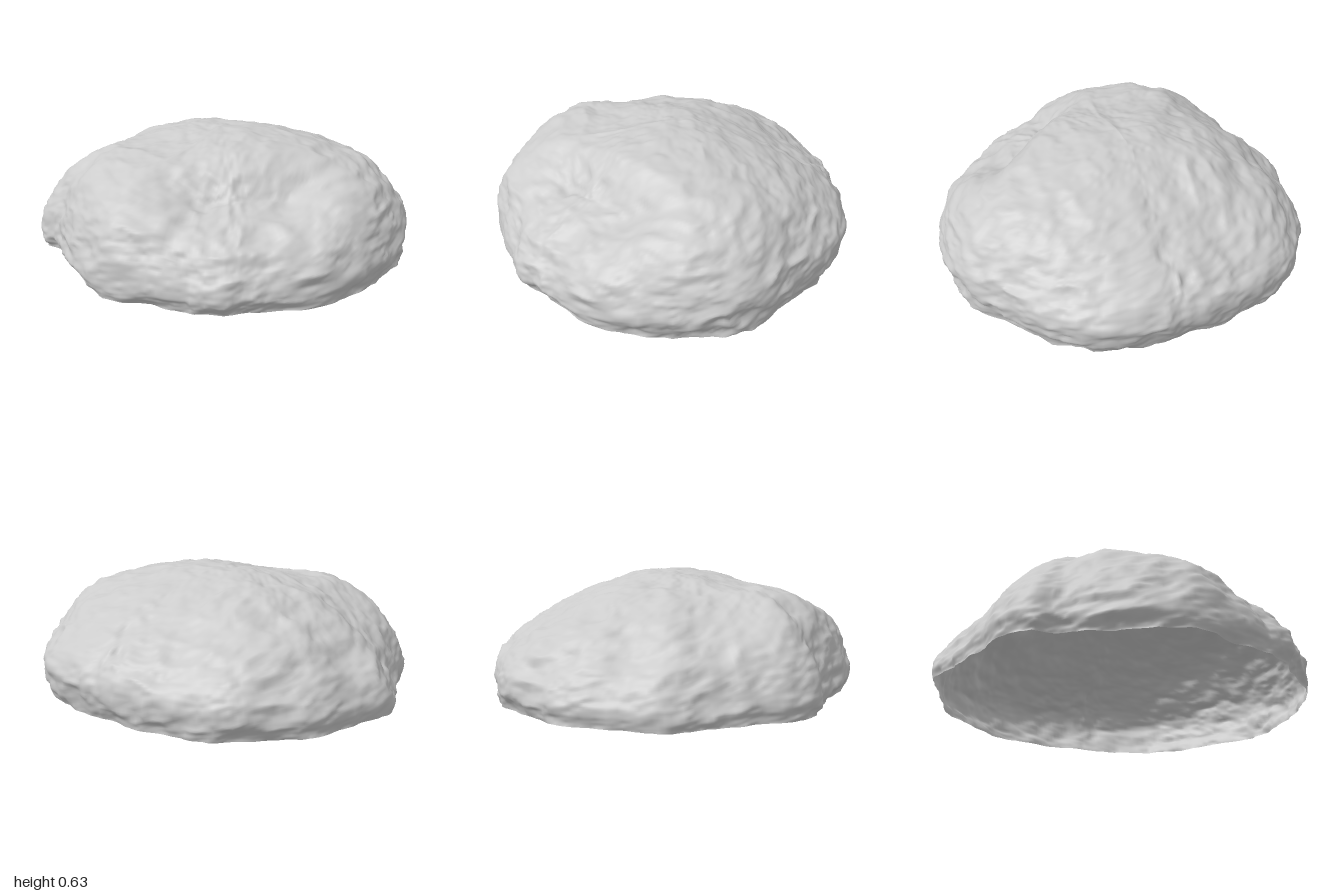
import * as THREE from 'three';

const { smoothstep, lerp } = THREE.MathUtils;
const SEGMENTS = 256, RINGS = 110;

// Ground outline seen from above, as (x, z), running from +x towards +z
const outline = new THREE.CatmullRomCurve3([
  [0.965, 0], [0.93, 0.2], [0.85, 0.4], [0.71, 0.57], [0.62, 0.66], [0.56, 0.73],
  [0.4, 0.8], [0.2, 0.87], [0, 0.925], [-0.2, 0.87], [-0.4, 0.78], [-0.55, 0.7],
  [-0.68, 0.68], [-0.78, 0.57], [-0.84, 0.4], [-0.91, 0.2], [-0.985, 0], [-0.94, -0.2],
  [-0.915, -0.4], [-0.835, -0.54], [-0.69, -0.71], [-0.56, -0.81], [-0.36, -0.865],
  [-0.17, -0.905], [0, -0.895], [0.12, -0.915], [0.4, -0.865], [0.56, -0.77], [0.69, -0.65],
  [0.79, -0.52], [0.91, -0.36], [0.965, -0.18],
].map(([x, z]) => new THREE.Vector3(x, 0, z)), true);

// Rim-to-top profiles for each side, as (share of the outline, height)
const profile = (pts) => new THREE.SplineCurve(pts.map(([r, y]) => new THREE.Vector2(r, y)));
const leftSide = profile([[0.97, 0], [1, 0.15], [0.97, 0.27], [0.87, 0.41], [0.71, 0.52], [0.5, 0.58], [0.25, 0.6], [0, 0.61]]);
const frontSide = profile([[0.96, 0], [1, 0.1], [0.96, 0.24], [0.89, 0.36], [0.68, 0.49], [0.44, 0.54], [0.2, 0.59], [0, 0.61]]);
const rightSide = profile([[0.98, 0], [0.99, 0.08], [0.92, 0.21], [0.76, 0.36], [0.53, 0.5], [0.34, 0.565], [0.16, 0.605], [0, 0.61]]);
const backSide = profile([[0.96, 0], [1, 0.16], [0.93, 0.26], [0.77, 0.375], [0.55, 0.48], [0.33, 0.56], [0.16, 0.6], [0, 0.61]]);

// Broad swellings and hollows on the dome: x, z, height change, width
const swells = [
  [-0.28, 0.64, 0.04, 0.22],
  [-0.5, 0.55, 0.045, 0.22],
  [0.54, -0.52, 0.02, 0.2],
  [-0.27, -0.6, -0.04, 0.24],
  [0.65, -0.05, -0.02, 0.22],
  [-0.5, 0.2, -0.02, 0.18],
];

// Seeded smooth value noise, -1 to 1
function hash(x, y, z) {
  let h = Math.imul(x, 374761393) ^ Math.imul(y, 668265263) ^ Math.imul(z, 1274126177);
  h = Math.imul(h ^ (h >>> 13), 1103515245);
  h = Math.imul(h ^ (h >>> 16), 2246822519);
  return ((h ^ (h >>> 15)) >>> 0) / 2147483648 - 1;
}
function noise(x, y, z) {
  const X = Math.floor(x), Y = Math.floor(y), Z = Math.floor(z);
  const u = smoothstep(x - X, 0, 1), v = smoothstep(y - Y, 0, 1), w = smoothstep(z - Z, 0, 1);
  const row = (j, k) => lerp(hash(X, Y + j, Z + k), hash(X + 1, Y + j, Z + k), u);
  return lerp(lerp(row(0, 0), row(1, 0), v), lerp(row(0, 1), row(1, 1), v), w);
}

// Layered roughness, slightly squashed vertically to give level wrinkles
function roughness(p) {
  const warp = noise(p.x * 3 + 9.4, p.y * 3 + 5.7, p.z * 3 + 7.3) * 0.08;
  let sum = 0.014, amp = 0.014, f = 4;
  for (let o = 0; o < 4; o++) {
    const shift = 20.37 + o * 17.29;
    const n = noise((p.x + warp) * f + shift, p.y * f * 1.4 + shift, (p.z - warp) * f + shift);
    sum += amp * (o === 1 ? 0.6 - 2 * Math.abs(n) : n);
    amp *= 0.65;
    f *= 2.1;
  }
  return sum;
}

// Smooth dome point at angle step j and rim-to-top step i
function domePoint(i, j) {
  const p = outline.getPoint(j / SEGMENTS);
  const a = Math.atan2(p.z, p.x), t = i / RINGS;
  const sx = (Math.cos(a) > 0 ? leftSide : rightSide).getPoint(t);
  const sz = (Math.sin(a) > 0 ? frontSide : backSide).getPoint(t);
  const s = sx.lerp(sz, Math.sin(a) ** 2);
  p.multiplyScalar(s.x);
  p.y = s.y;
  for (const [x, z, rise, width] of swells) {
    const d2 = (p.x - x) ** 2 + (p.z - z) ** 2;
    p.y += rise * Math.exp(-d2 / (width * width)) * smoothstep(s.y, 0.05, 0.4);
  }
  // Lower ledge at the front left corner, below a short scarp
  const across = (p.x + p.z) / Math.SQRT2, along = (p.x - p.z) / Math.SQRT2;
  const ledge = smoothstep(across, 0.36, 0.56) * Math.exp(-(((along - 0.04) / 0.4) ** 4));
  p.y *= 1 - 0.3 * ledge;
  return p;
}

function boulderGeometry() {
  const pos = [], index = [];
  for (let i = 0; i < RINGS; i++) {
    for (let j = 0; j < SEGMENTS; j++) pos.push(...domePoint(i, j).toArray());
  }
  pos.push(0, 0.61, 0);
  const top = RINGS * SEGMENTS;
  for (let i = 0; i < RINGS; i++) {
    for (let j = 0; j < SEGMENTS; j++) {
      const k = (j + 1) % SEGMENTS;
      const a = i * SEGMENTS + j, b = i * SEGMENTS + k;
      if (i === RINGS - 1) index.push(a, top, b);
      else index.push(a, a + SEGMENTS, b, b, a + SEGMENTS, b + SEGMENTS);
    }
  }
  const geo = new THREE.BufferGeometry();
  geo.setAttribute('position', new THREE.Float32BufferAttribute(pos, 3));
  geo.setIndex(index);
  geo.computeVertexNormals();

  // Push the surface along its normals, keeping the open rim on the ground
  const P = geo.attributes.position, N = geo.attributes.normal;
  const p = new THREE.Vector3(), n = new THREE.Vector3();
  for (let v = 0; v < P.count; v++) {
    p.fromBufferAttribute(P, v);
    n.fromBufferAttribute(N, v);
    const d = roughness(p) * lerp(1.3, 0.85, smoothstep(p.y, 0.3, 0.6));
    n.y *= smoothstep(p.y, 0, 0.12);
    p.addScaledVector(n, d);
    P.setXYZ(v, p.x, Math.max(0, p.y), p.z);
  }
  geo.computeVertexNormals();
  return geo;
}

export function createModel() {
  const group = new THREE.Group();
  group.name = 'boulder';
  // Hollow rock shell, open underneath
  const shell = new THREE.Mesh(
    boulderGeometry(),
    new THREE.MeshStandardMaterial({ color: 0xcccccc, side: THREE.DoubleSide }),
  );
  shell.name = 'rockShell';
  group.add(shell);
  return group;
}
